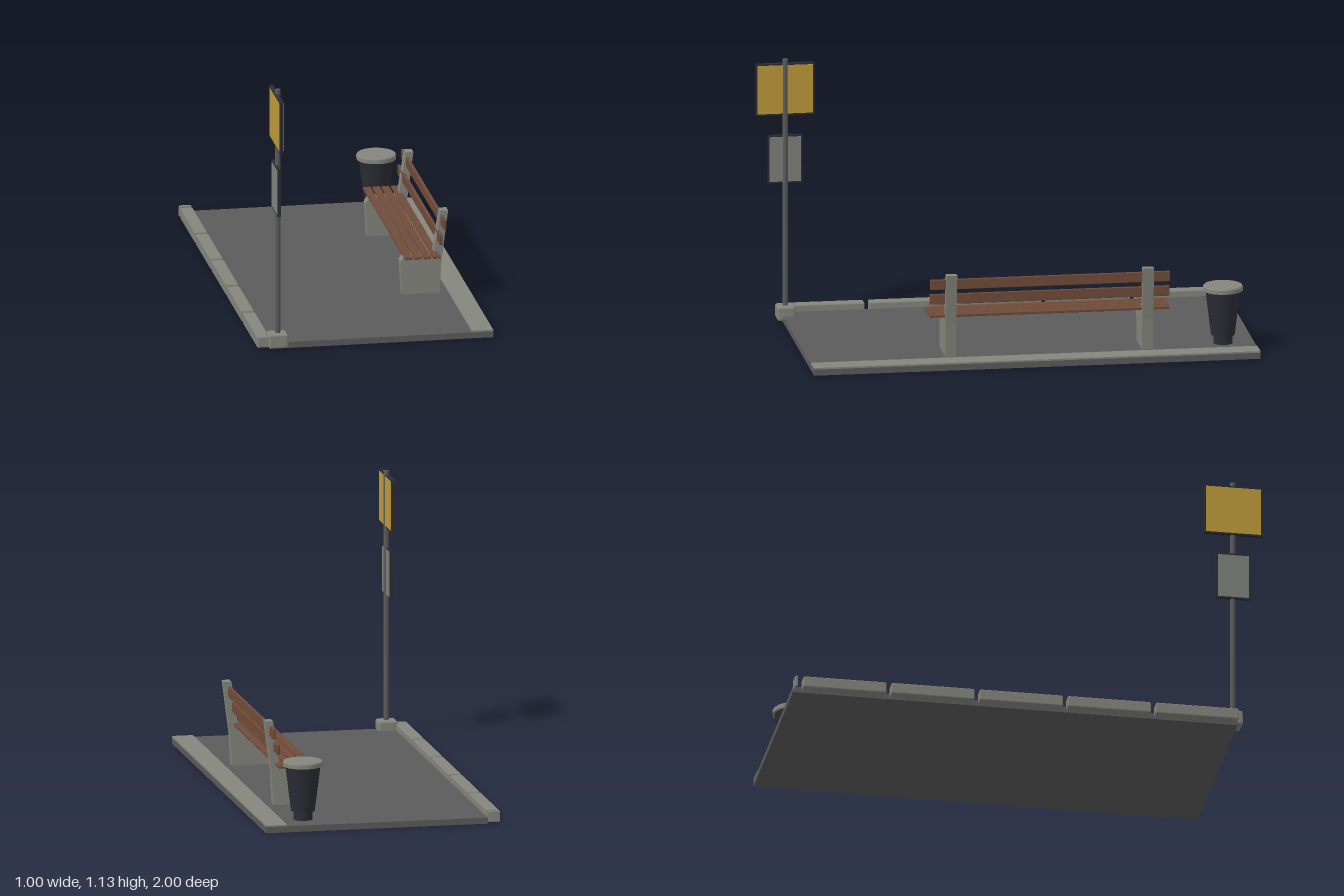
import * as THREE from 'three';
import { RoundedBoxGeometry } from 'three/addons/geometries/RoundedBoxGeometry.js';

const mat = (name, color) => {
  const m = new THREE.MeshStandardMaterial({ color });
  m.name = name;
  return m;
};

export function createModel() {
  const asphalt = mat('asphalt', 0x5b5b5b);
  const concrete = mat('concrete', 0x84867c);
  const wood = mat('wood', 0x704b39);
  const dark = mat('dark plastic', 0x2b2c35);
  const steel = mat('steel', 0x5a5b5c);
  const yellow = mat('sign yellow', 0xbe9a3a);
  const grey = mat('panel grey', 0x7f817b);

  const group = (name, parent) => {
    const g = new THREE.Group();
    g.name = name;
    parent?.add(g);
    return g;
  };
  const add = (parent, name, geometry, material, x = 0, y = 0, z = 0) => {
    const m = new THREE.Mesh(geometry, material);
    m.name = name;
    m.position.set(x, y, z);
    parent.add(m);
    return m;
  };
  // Box given by its limits on each axis; bevel > 0 softens the edges
  const box = (parent, name, material, [x0, x1], [y0, y1], [z0, z1], bevel = 0) => {
    const s = [x1 - x0, y1 - y0, z1 - z0];
    const g = bevel ? new RoundedBoxGeometry(...s, 1, bevel) : new THREE.BoxGeometry(...s);
    return add(parent, name, g, material, (x0 + x1) / 2, (y0 + y1) / 2, (z0 + z1) / 2);
  };

  const root = group('busStop');

  // Pavement with a paler strip along its inner edge
  const ground = group('pavement', root);
  box(ground, 'slab', asphalt, [-0.45, 0.5], [0, 0.026], [-1, 0.89]);
  box(ground, 'edgeStrip', concrete, [0.41, 0.5], [0.026, 0.033], [-1, 0.89]);

  // Kerb stones with gaps, ending in a short cut piece
  const kerb = group('kerb', root);
  for (let i = 0; i < 5; i++) {
    const z = 0.888 - i * 0.3745;
    box(kerb, 'kerbStone', concrete, [-0.503, -0.449], [0.005, 0.054], [z - 0.354, z], 0.006);
  }
  box(kerb, 'kerbEnd', concrete, [-0.503, -0.449], [0.005, 0.054], [-1, -0.986], 0.005);

  // Sign post
  const px = -0.414, pz = 0.876;
  const sign = group('signPost', root);
  box(sign, 'postBase', concrete, [-0.457, -0.374], [0.005, 0.067], [0.836, 0.914], 0.01);
  add(sign, 'pole', new THREE.CylinderGeometry(0.0115, 0.0115, 1.07, 12), steel, px, 0.597, pz);

  // A dark backing board with a thin coloured plate on both sides
  const board = (name, material, [x0, x1], [y0, y1], [z0, z1]) => {
    const g = group(name, sign), e = 0.007;
    box(g, 'frame', dark, [x0, x1], [y0, y1], [z0, z1]);
    for (const [a, b] of [[x0 - 0.001, x0], [x1, x1 + 0.003]])
      box(g, 'face', material, [a, b], [y0 + e, y1 - e], [z0 + e, z1 - e]);
  };
  board('stopSign', yellow, [-0.428, -0.411], [0.89, 1.113], [0.753, 1]);
  board('timetable', grey, [-0.427, -0.414], [0.595, 0.802], [0.803, 0.95]);

  // Bench: two concrete supports that rise into leaning back posts
  const bench = group('bench', root);
  const profile = new THREE.Shape([
    [0.215, 0.026], [0.374, 0.026], [0.381, 0.16], [0.41, 0.385], [0.377, 0.385],
    [0.348, 0.196], [0.224, 0.196], [0.207, 0.17],
  ].map(([x, y]) => new THREE.Vector2(x, y)));
  for (const z of [0.293, -0.54])
    add(bench, 'support', new THREE.ExtrudeGeometry(profile, { depth: 0.046, bevelEnabled: false }), concrete, 0, 0, z - 0.023);

  // Wooden slats
  const span = [-0.634, 0.381];
  for (let i = 0; i < 4; i++) {
    const x = 0.216 + i * 0.0395;
    box(bench, 'seatSlat', wood, [x, x + 0.032], [0.195, 0.207], span, 0.003);
  }
  box(bench, 'lowerBackSlat', wood, [0.362, 0.375], [0.254, 0.298], span, 0.003);
  box(bench, 'upperBackSlat', wood, [0.378, 0.391], [0.321, 0.365], span, 0.003);

  // Litter bin: tapered body on a narrow foot, with a wide lid
  const bin = group('litterBin', root);
  bin.position.set(0.314, 0, -0.868);
  add(bin, 'foot', new THREE.CylinderGeometry(0.04, 0.04, 0.042, 24), dark, 0, 0.046, 0);
  add(bin, 'body', new THREE.CylinderGeometry(0.074, 0.05, 0.194, 24), dark, 0, 0.16, 0);
  add(bin, 'lid', new THREE.CylinderGeometry(0.084, 0.084, 0.017, 24), concrete, 0, 0.2635, 0);
  add(bin, 'lidTop', new THREE.CylinderGeometry(0.08, 0.084, 0.005, 24), concrete, 0, 0.2745, 0);

  return root;
}
